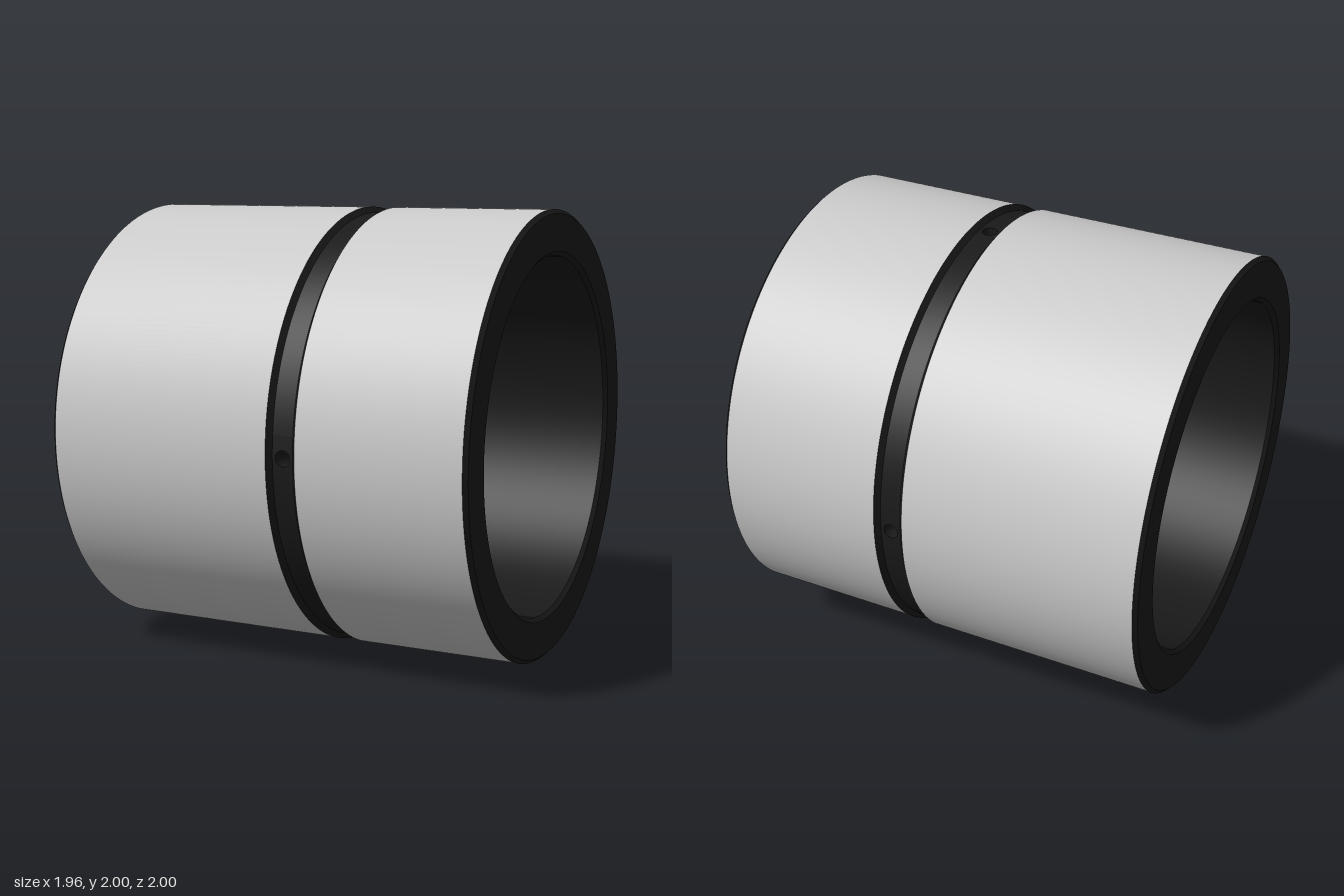
import * as THREE from 'three';
import { toCreasedNormals } from 'three/addons/utils/BufferGeometryUtils.js';

const SEGMENTS = 256;          // facets around the full ring
const HOLES = 4;
const PATCH = 8;               // facets taken up by the floor around one hole
const STEP = (Math.PI * 2) / SEGMENTS;
const HALF_ANGLE = (PATCH * STEP) / 2;

const END = 0.98, BORE = 0.8, CHAMFER = 0.018;
const GROOVE = 0.157, FLOOR_HALF = 0.047, MOUTH_HALF = 0.067;
const FLOOR_OUT = 0.975, FLOOR_IN = 0.825, HOLE_R = 0.034;

const steel = new THREE.MeshStandardMaterial({ color: 0xcccccc });
const dark = new THREE.MeshStandardMaterial({ color: 0x1a1a1a });

// Surface of revolution from [radius, axial] points
function turned(name, points, material, start = 0, segments = SEGMENTS) {
  const profile = points.map(([r, a]) => new THREE.Vector2(r, a));
  const lathe = new THREE.LatheGeometry(profile, segments, start, segments * STEP);
  const mesh = new THREE.Mesh(toCreasedNormals(lathe, 0.4), material);
  mesh.name = name;
  return mesh;
}

// Floor patches of both grooves joined by the wall of a radial hole
function holePatch(angle) {
  const side = 8, count = side * 4;
  const rim = [];
  for (let k = 0; k < count; k++) {
    const t = (k % side) / side * 2 - 1;
    const [u, v] = [[1, t], [-t, 1], [-1, -t], [t, -1]][Math.floor(k / side)];
    rim.push([u * HALF_ANGLE, v * FLOOR_HALF]);
  }
  const positions = [], index = [];
  const add = (phi, v, r) =>
    positions.push(r * Math.sin(phi + angle), GROOVE + v, r * Math.cos(phi + angle));
  const addRim = (r) => rim.forEach(([u, v]) => add(u, v, r));
  const addCircle = (r) => rim.forEach(([u, v]) => {
    const a = Math.atan2(v, u * 0.9);
    add(Math.asin(HOLE_R * Math.cos(a) / r), HOLE_R * Math.sin(a), r);
  });
  addRim(FLOOR_OUT);
  addCircle(FLOOR_OUT);
  addCircle(FLOOR_IN);
  addRim(FLOOR_IN);
  for (let i = 0; i < 3; i++) {
    for (let k = 0; k < count; k++) {
      const n = (k + 1) % count;
      const a = i * count + k, b = i * count + n;
      index.push(a, b, b + count, a, b + count, a + count);
    }
  }
  const geometry = new THREE.BufferGeometry();
  geometry.setAttribute('position', new THREE.Float32BufferAttribute(positions, 3));
  geometry.setIndex(index);
  const mesh = new THREE.Mesh(toCreasedNormals(geometry, 0.6), dark);
  mesh.name = 'oilHole';
  return mesh;
}

export function createModel() {
  const bushing = new THREE.Group();
  bushing.name = 'bushing';

  const lo = GROOVE - MOUTH_HALF, hi = GROOVE + MOUTH_HALF;
  const floorLo = GROOVE - FLOOR_HALF, floorHi = GROOVE + FLOOR_HALF;

  // Ground outer surfaces on either side of the groove
  bushing.add(
    turned('outerSurfaceRight', [[1, -END + CHAMFER], [1, lo]], steel),
    turned('outerSurfaceLeft', [[1, hi], [1, END - CHAMFER]], steel),
  );

  // Chamfered end faces, bore and sloping groove sides
  bushing.add(
    turned('leftEndAndBore', [
      [1, END - CHAMFER], [1 - CHAMFER, END], [BORE + CHAMFER, END],
      [BORE, END - CHAMFER], [BORE, hi], [FLOOR_IN, floorHi],
    ], dark),
    turned('rightEndAndBore', [
      [FLOOR_IN, floorLo], [BORE, lo], [BORE, -END + CHAMFER],
      [BORE + CHAMFER, -END], [1 - CHAMFER, -END], [1, -END + CHAMFER],
    ], dark),
    turned('grooveSideRight', [[1, lo], [FLOOR_OUT, floorLo]], dark),
    turned('grooveSideLeft', [[FLOOR_OUT, floorHi], [1, hi]], dark),
  );

  // Groove floors, interrupted by the radial holes
  for (let i = 0; i < HOLES; i++) {
    const angle = (i / HOLES) * Math.PI * 2;
    const start = angle + HALF_ANGLE;
    const span = SEGMENTS / HOLES - PATCH;
    bushing.add(
      holePatch(angle),
      turned('outerGrooveFloor', [[FLOOR_OUT, floorLo], [FLOOR_OUT, floorHi]], dark, start, span),
      turned('innerGrooveFloor', [[FLOOR_IN, floorHi], [FLOOR_IN, floorLo]], dark, start, span),
    );
  }

  // Lay the turning axis along x
  bushing.rotation.z = -Math.PI / 2;
  bushing.position.y = 1;

  const model = new THREE.Group();
  model.name = 'groovedBushing';
  model.add(bushing);
  return model;
}
